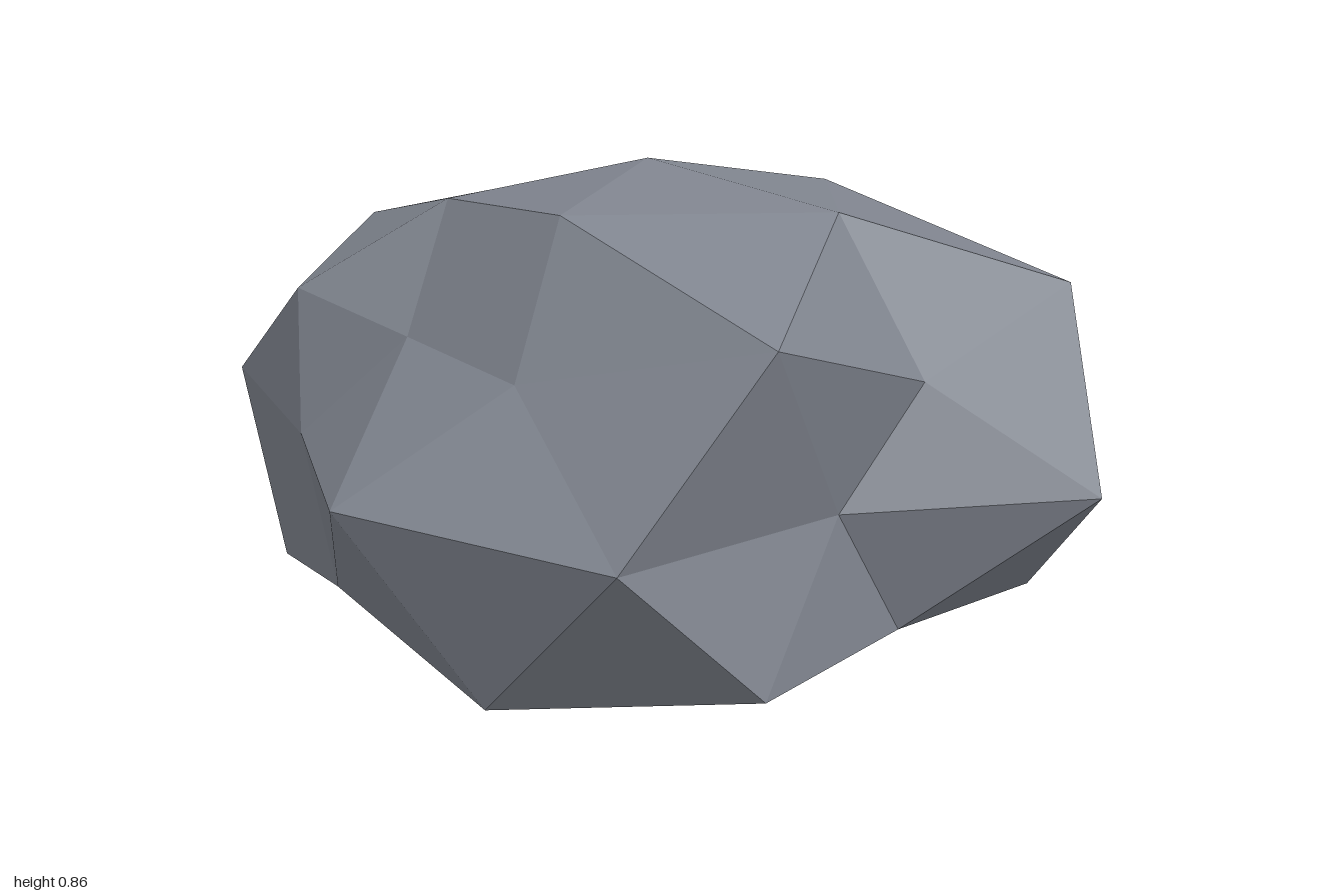
import * as THREE from 'three';
import { ConvexGeometry } from 'three/addons/geometries/ConvexGeometry.js';

// Rings of a once-subdivided icosahedron, from top to bottom.
// Each ring: start angle in degrees, alternating heights, radius of each corner.
const RINGS = [
  { start: 0, heights: [1], radii: [0.833] },
  { start: 0, heights: [0.8507], radii: [0.908, 0.906, 0.8, 0.81, 0.855] },
  { start: 0, heights: [0.4472, 0.5257], radii: [0.765, 1.055, 0.79, 0.68, 0.84, 0.94, 0.87, 0.91, 0.88, 1.0] },
  { start: 18, heights: [0], radii: [0.67, 1.053, 0.966, 0.75, 0.988, 1.157, 0.848, 0.856, 0.77, 0.946] },
  { start: 0, heights: [-0.5257, -0.4472], radii: [0.75, 0.955, 1.01, 0.84, 0.93, 0.957, 0.8, 0.815, 0.74, 0.88] },
  { start: 36, heights: [-0.8507], radii: [0.8, 0.9, 0.84, 1.0, 0.75] },
  { start: 0, heights: [-1], radii: [0.9] },
];
const SCALE = new THREE.Vector3(1, 0.636, 0.818);
const CENTRE = new THREE.Vector3(0.1, 0.33, -0.05);

function boulderGeometry() {
  // Unit directions of all corners, each with its own radius
  const corners = [];
  for (const { start, heights, radii } of RINGS) {
    radii.forEach((radius, i) => {
      const y = heights[i % heights.length];
      const angle = THREE.MathUtils.degToRad(start + (i * 360) / radii.length);
      const flat = Math.sqrt(1 - y * y);
      corners.push({ dir: new THREE.Vector3(flat * Math.cos(angle), y, flat * Math.sin(angle)), radius });
    });
  }
  const geometry = new ConvexGeometry(corners.map((c) => c.dir));

  // Push every corner in or out, squash, and flatten the underside on the ground
  const position = geometry.attributes.position;
  const v = new THREE.Vector3();
  for (let i = 0; i < position.count; i++) {
    v.fromBufferAttribute(position, i);
    const corner = corners.find((c) => c.dir.distanceTo(v) < 0.01);
    v.multiplyScalar(corner.radius).multiply(SCALE).add(CENTRE);
    position.setXYZ(i, v.x, Math.max(0, v.y), v.z);
  }
  geometry.computeVertexNormals();
  return geometry;
}

export function createModel() {
  const stone = new THREE.MeshStandardMaterial({ color: 0x80858f, flatShading: true });
  stone.name = 'stone grey';
  const boulder = new THREE.Mesh(boulderGeometry(), stone);
  boulder.name = 'boulder';
  const group = new THREE.Group();
  group.name = 'rock';
  group.add(boulder);
  return group;
}
